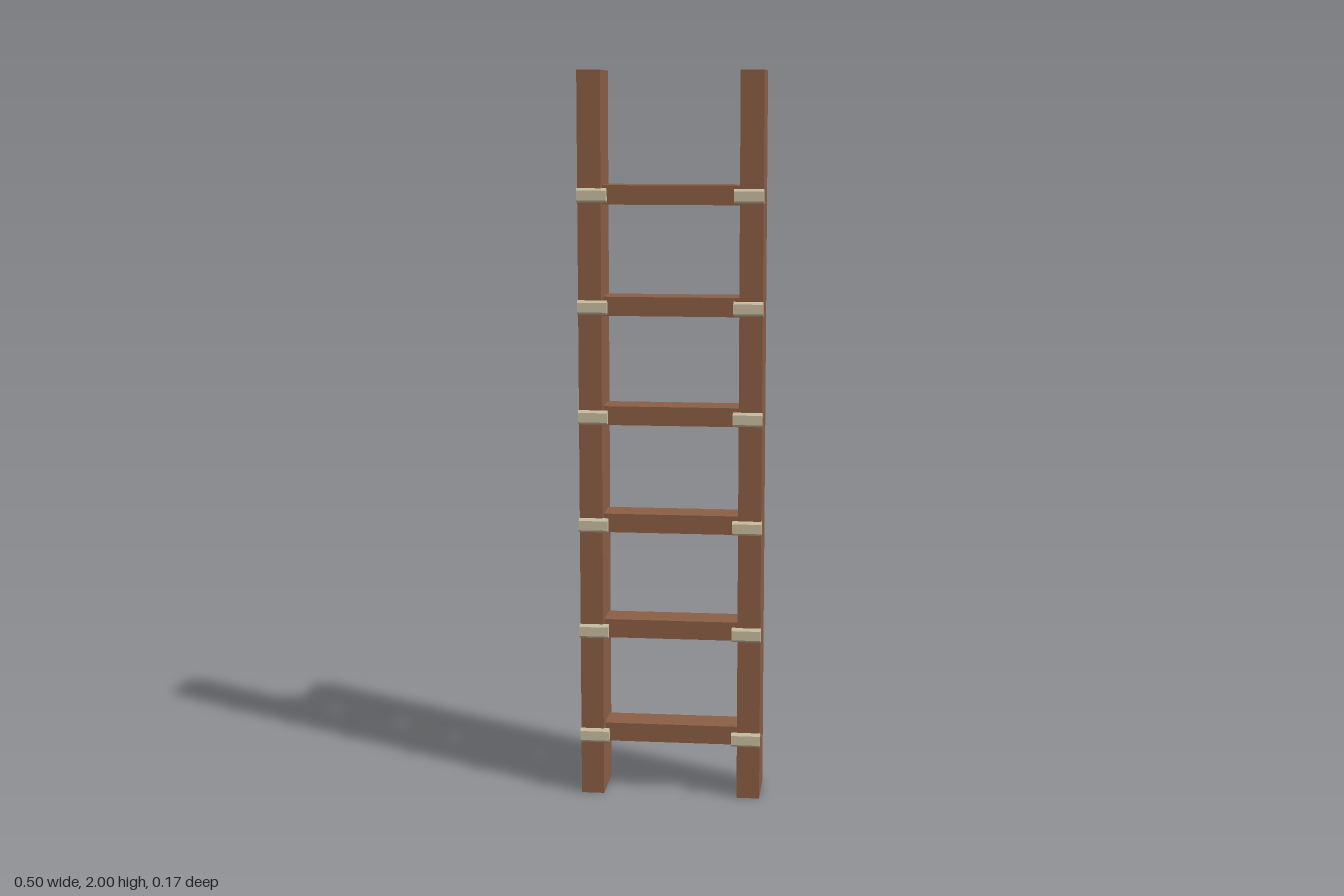
import * as THREE from 'three';

export function createModel() {
  const group = new THREE.Group();
  const wood = new THREE.MeshStandardMaterial({ color: 0x8b5e45 });
  wood.name = 'brown wood';
  const cord = new THREE.MeshStandardMaterial({ color: 0xc8bea0 });
  cord.name = 'pale binding';

  const add = (name, geometry, material, x, y, z) => {
    const mesh = new THREE.Mesh(geometry, material);
    mesh.name = name;
    mesh.position.set(x, y, z);
    group.add(mesh);
  };

  // Binding: a flat bar along x with its four long edges chamfered
  const w = 0.0105, h = 0.019, c = 0.006, length = 0.08;
  const profile = new THREE.Shape([
    [w, -h + c], [w, h - c], [w - c, h], [-w + c, h],
    [-w, h - c], [-w, -h + c], [-w + c, -h], [w - c, -h],
  ].map(([a, b]) => new THREE.Vector2(a, b)));
  const bindingGeo = new THREE.ExtrudeGeometry(profile, { depth: length, bevelEnabled: false });
  bindingGeo.translate(0, 0, -length / 2).rotateY(Math.PI / 2);

  // Two upright rails
  const railGeo = new THREE.BoxGeometry(0.063, 2, 0.154);
  add('leftRail', railGeo, wood, 0.218, 1, -0.007);
  add('rightRail', railGeo, wood, -0.218, 1, -0.007);

  // Six evenly spaced rungs, each bound to both rails
  const rungGeo = new THREE.BoxGeometry(0.376, 0.052, 0.093);
  for (let i = 0; i < 6; i++) {
    const y = 0.17 + i * 0.3;
    add(`rung${i + 1}`, rungGeo, wood, 0, y, -0.0075);
    add(`leftBinding${i + 1}`, bindingGeo, cord, 0.211, y, 0.0715);
    add(`rightBinding${i + 1}`, bindingGeo, cord, -0.211, y, 0.0715);
  }
  return group;
}
